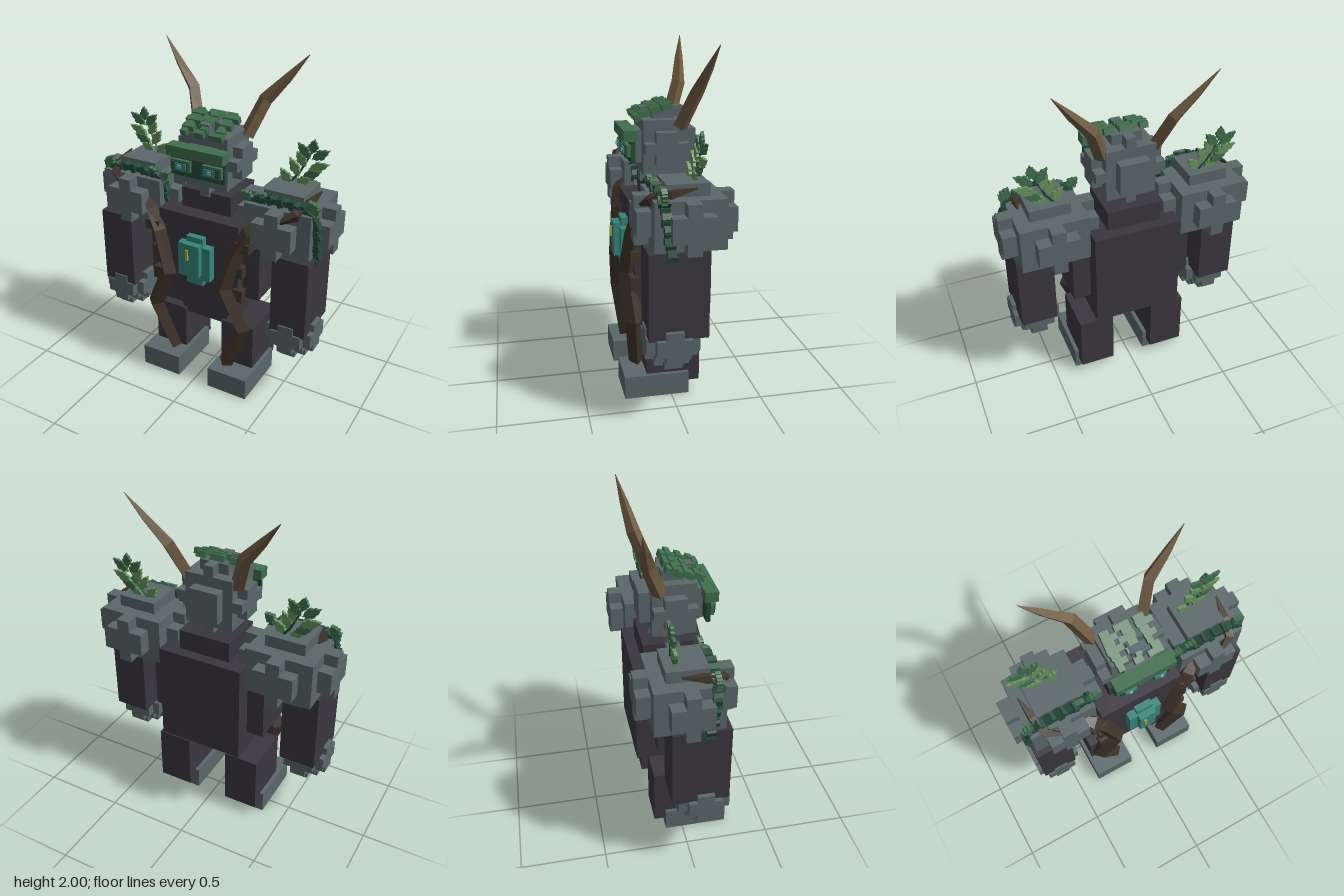
import * as THREE from 'three';
import { mergeGeometries } from 'three/addons/utils/BufferGeometryUtils.js';

const mat = (name, color) => {
  const m = new THREE.MeshStandardMaterial({ color });
  m.name = name;
  return m;
};

export function createModel() {
  const M = {
    stone: mat('stone', 0x5a676a), dark: mat('darkStone', 0x3a363e),
    horn: mat('hornBrown', 0x6e5a40), root: mat('rootBrown', 0x40342a),
    moss: mat('moss', 0x3f6e4c), deep: mat('deepGreen', 0x23483a),
    leaf: mat('lightLeaf', 0x65935a), gem: mat('teal', 0x35857a),
    glow: mat('paleTeal', 0x6fb5ad), gold: mat('gold', 0xa79a45),
  };
  const model = new THREE.Group();

  const add = (name, geo, material) => {
    const m = new THREE.Mesh(geo, material);
    m.name = name;
    model.add(m);
    return m;
  };
  // Box given by its extents on each axis
  const boxGeo = (x0, x1, y0, y1, z0, z1) =>
    new THREE.BoxGeometry(Math.abs(x1 - x0), y1 - y0, z1 - z0)
      .translate((x0 + x1) / 2, (y0 + y1) / 2, (z0 + z1) / 2);
  const box = (name, material, ...e) => add(name, boxGeo(...e), material);

  // Blocky ellipsoid: cells inside the ellipsoid, joined into runs along x
  const boulder = (name, material, [cx, cy, cz], [w, h, d], [nx, ny, nz]) => {
    const parts = [];
    for (let j = 0; j < ny; j++) for (let k = 0; k < nz; k++) {
      const b = (2 * j + 1) / ny - 1, c = (2 * k + 1) / nz - 1;
      let run = 0;
      for (let i = 0; i < nx; i++) {
        const a = (2 * i + 1) / nx - 1;
        if (a * a + b * b + c * c <= 1.0001) run++;
      }
      if (run) parts.push(new THREE.BoxGeometry(run * w / nx, h / ny, d / nz)
        .translate(cx, cy + b * h / 2, cz + c * d / 2));
    }
    return add(name, mergeGeometries(parts), material);
  };

  // Four-sided tapering limb along [x, y, z, radius] stations
  const limb = (name, material, stations, s) => {
    const P = stations.map(p => new THREE.Vector3(p[0] * s, p[1], p[2]));
    const pos = [], ref = new THREE.Vector3(0, 0, 1);
    const rings = P.map((p, i) => {
      const t = P[Math.min(i + 1, P.length - 1)].clone().sub(P[Math.max(i - 1, 0)]).normalize();
      const u = t.clone().cross(ref).normalize(), v = t.clone().cross(u);
      return [0, 1, 2, 3].map(k => p.clone()
        .addScaledVector(u, Math.cos(k * Math.PI / 2) * stations[i][3])
        .addScaledVector(v, Math.sin(k * Math.PI / 2) * stations[i][3]));
    });
    const tri = (...v) => v.forEach(q => pos.push(q.x, q.y, q.z));
    for (let i = 0; i < P.length - 1; i++) for (let k = 0; k < 4; k++) {
      const a = rings[i][k], b = rings[i][(k + 1) % 4], c = rings[i + 1][k], d = rings[i + 1][(k + 1) % 4];
      tri(a, b, c); tri(b, d, c);
    }
    const f = rings[0], l = rings[P.length - 1];
    tri(f[0], f[2], f[1]); tri(f[0], f[3], f[2]);
    tri(l[0], l[1], l[2]); tri(l[0], l[2], l[3]);
    const g = new THREE.BufferGeometry();
    g.setAttribute('position', new THREE.Float32BufferAttribute(pos, 3));
    g.computeVertexNormals();
    return add(name, g, material);
  };

  // Toothed leaf growing from the origin along +y
  const leafGeo = (len, wid, thick = 0.014) => {
    const half = [[0.15, 0.1], [0.7, 0.2], [0.7, 0.35], [1, 0.4], [1, 0.55], [0.65, 0.62], [0.6, 0.78], [0.25, 0.84]];
    const pts = [[0, 0], ...half, [0, 1], ...half.slice().reverse().map(([x, y]) => [-x, y])];
    const shape = new THREE.Shape(pts.map(([x, y]) => new THREE.Vector2(x * wid / 2, y * len)));
    return new THREE.ExtrudeGeometry(shape, { depth: thick, bevelEnabled: false }).translate(0, 0, -thick / 2);
  };

  // Torso
  box('chest', M.dark, -0.26, 0.26, 0.51, 1.11, -0.255, 0.195);
  box('collar', M.dark, -0.16, 0.16, 1.11, 1.23, -0.19, 0.1);
  box('flanks', M.dark, -0.365, 0.365, 0.63, 1.0, -0.15, 0.13);
  box('pelvis', M.dark, -0.155, 0.155, 0.39, 0.51, -0.13, 0.12);

  // Chest gem
  box('gemBody', M.gem, -0.105, 0.105, 0.735, 0.95, 0.19, 0.245);
  box('gemCore', M.gem, -0.053, 0.053, 0.69, 1.0, 0.19, 0.235);
  box('gemFace', M.gem, -0.053, 0.053, 0.77, 0.97, 0.24, 0.28);
  box('gemSpark', M.gold, -0.03, -0.014, 0.87, 0.935, 0.28, 0.292);

  // Head and face
  boulder('head', M.stone, [0, 1.425, -0.008], [0.41, 0.43, 0.375], [7, 7, 6]);
  box('brow', M.moss, -0.178, 0.178, 1.47, 1.53, 0.155, 0.232);
  box('visor', M.deep, -0.17, 0.17, 1.345, 1.47, 0.165, 0.19);

  // Three ragged moss tufts sloping back over the head
  [-0.1, 0, 0.1].forEach((x, n) => {
    const parts = [];
    for (let i = 0; i < 7; i++) {
      const wide = [0.05, 0.085, 0.06, 0.095, 0.05, 0.07, 0.035][(i + n) % 7];
      parts.push(new THREE.BoxGeometry(wide, 0.036, 0.034)
        .translate((i % 2 - 0.5) * 0.014, (i % 2) * 0.008, -0.096 + i * 0.032));
    }
    const tuft = add('headMoss', mergeGeometries(parts), M.moss);
    tuft.position.set(x, 1.622, 0.055);
    tuft.rotation.x = 0.32;
  });

  for (const s of [1, -1]) {
    const side = s > 0 ? 'left' : 'right';
    const sbox = (name, m, x0, x1, ...r) => box(side + name, m, s * x0, s * x1, ...r);

    // Eyes
    sbox('EyeFrame', M.moss, 0.038, 0.16, 1.38, 1.445, 0.19, 0.212);
    sbox('EyeSocket', M.deep, 0.048, 0.15, 1.388, 1.437, 0.212, 0.22);
    sbox('EyeIris', M.gem, 0.055, 0.125, 1.393, 1.432, 0.22, 0.228);
    sbox('EyeGlint', M.glow, 0.085, 0.105, 1.405, 1.425, 0.228, 0.236);

    // Arms, legs and feet
    boulder(side + 'Shoulder', M.stone, [s * 0.472, 1.1225, -0.032], [0.55, 0.405, 0.537], [7, 6, 7]);
    sbox('Arm', M.dark, 0.47, 0.685, 0.51, 0.99, -0.13, 0.193);
    boulder(side + 'Hand', M.stone, [s * 0.572, 0.47, 0.057], [0.276, 0.27, 0.29], [6, 6, 6]);
    sbox('Leg', M.dark, 0.128, 0.34, 0.07, 0.42, -0.17, 0.14);
    sbox('Foot', M.stone, 0.103, 0.363, 0, 0.135, -0.103, 0.272);

    // Horn
    limb(side + 'Horn', M.horn, [[0.155, 1.54, -0.09, 0.042], [0.23, 1.74, -0.165, 0.04],
      [0.345, 1.87, -0.195, 0.025], [0.45, 2.0, -0.225, 0.002]], s);

    // Root down the front of the body, with knots beside it
    limb(side + 'Root', M.root, [[0.4, 1.16, 0.13, 0.012], [0.32, 1.08, 0.18, 0.05], [0.26, 0.97, 0.2, 0.05],
      [0.185, 0.72, 0.225, 0.052], [0.3, 0.46, 0.205, 0.052], [0.18, 0.15, 0.175, 0.045]], s);
    sbox('RootKnot', M.root, 0.25, 0.34, 0.97, 1.03, 0.15, 0.225);
    sbox('RootKnot', M.root, 0.24, 0.3, 0.8, 0.87, 0.17, 0.22);
    sbox('RootKnot', M.root, 0.24, 0.3, 0.64, 0.72, 0.17, 0.22);

    // Thin root over the shoulder
    limb(side + 'ShoulderRoot', M.root, [[0.63, 1.31, -0.07, 0.006], [0.61, 1.28, 0.06, 0.03],
      [0.58, 1.25, 0.16, 0.035], [0.49, 1.2, 0.21, 0.008]], s);

    // Garland draped round the shoulder
    const drape = new THREE.CatmullRomCurve3([[0.27, 0.96, 0.08], [0.28, 1.1, 0.08], [0.3, 1.25, 0.1], [0.37, 1.28, 0.11],
      [0.57, 1.28, 0.11], [0.655, 1.24, 0.11], [0.68, 1.12, 0.09], [0.675, 0.96, 0.07]]
      .map(([x, y, z]) => new THREE.Vector3(s * x, y, z)));
    const bits = [];
    for (let i = 0; i <= 30; i++) {
      const p = drape.getPointAt(i / 30), t = drape.getTangentAt(i / 30);
      bits.push(new THREE.BoxGeometry(0.034, i % 2 ? 0.05 : 0.03, i % 3 ? 0.05 : 0.066)
        .rotateZ(Math.atan2(t.y, t.x) + (i % 2 ? 0.35 : -0.25)).translate(p.x, p.y, p.z));
    }
    add(side + 'Garland', mergeGeometries(bits), M.deep);
    for (const [x, y, a] of [[0.3, 1.25, 0.9], [0.4, 1.27, 1.2], [0.63, 1.24, -0.9], [0.68, 1.26, 0.6]]) {
      const l = add(side + 'GarlandLeaf', leafGeo(0.085, 0.06, 0.03), M.moss);
      l.position.set(s * x, y, 0.11);
      l.rotation.z = s * a;
    }

    // Fern: a bent stem with paired leaves, [x, y, angle, length, light]
    limb(side + 'FernStem', M.deep, [[0.42, 1.3, -0.085, 0.008], [0.48, 1.38, -0.1, 0.007],
      [0.53, 1.48, -0.11, 0.005], [0.545, 1.53, -0.115, 0.003]], s);
    const leaves = [[0.545, 1.5, -0.1, 0.085, 0], [0.535, 1.47, 0.75, 0.11, 0], [0.545, 1.47, -1.0, 0.12, 0],
      [0.515, 1.42, 0.6, 0.1, 1], [0.53, 1.41, -1.2, 0.13, 1], [0.485, 1.36, 0.55, 0.12, 1],
      [0.5, 1.36, -1.15, 0.12, 0], [0.445, 1.31, 0.7, 0.11, 1], [0.47, 1.32, -1.1, 0.1, 1]];
    for (const [x, y, a, len, light] of leaves) {
      const l = add(side + 'FernLeaf', leafGeo(len, 0.055, 0.018), light ? M.leaf : M.moss);
      l.position.set(s * x, y, -0.065 - (x - 0.4) * 0.3);
      l.rotation.z = s * a;
    }
  }
  return model;
}
